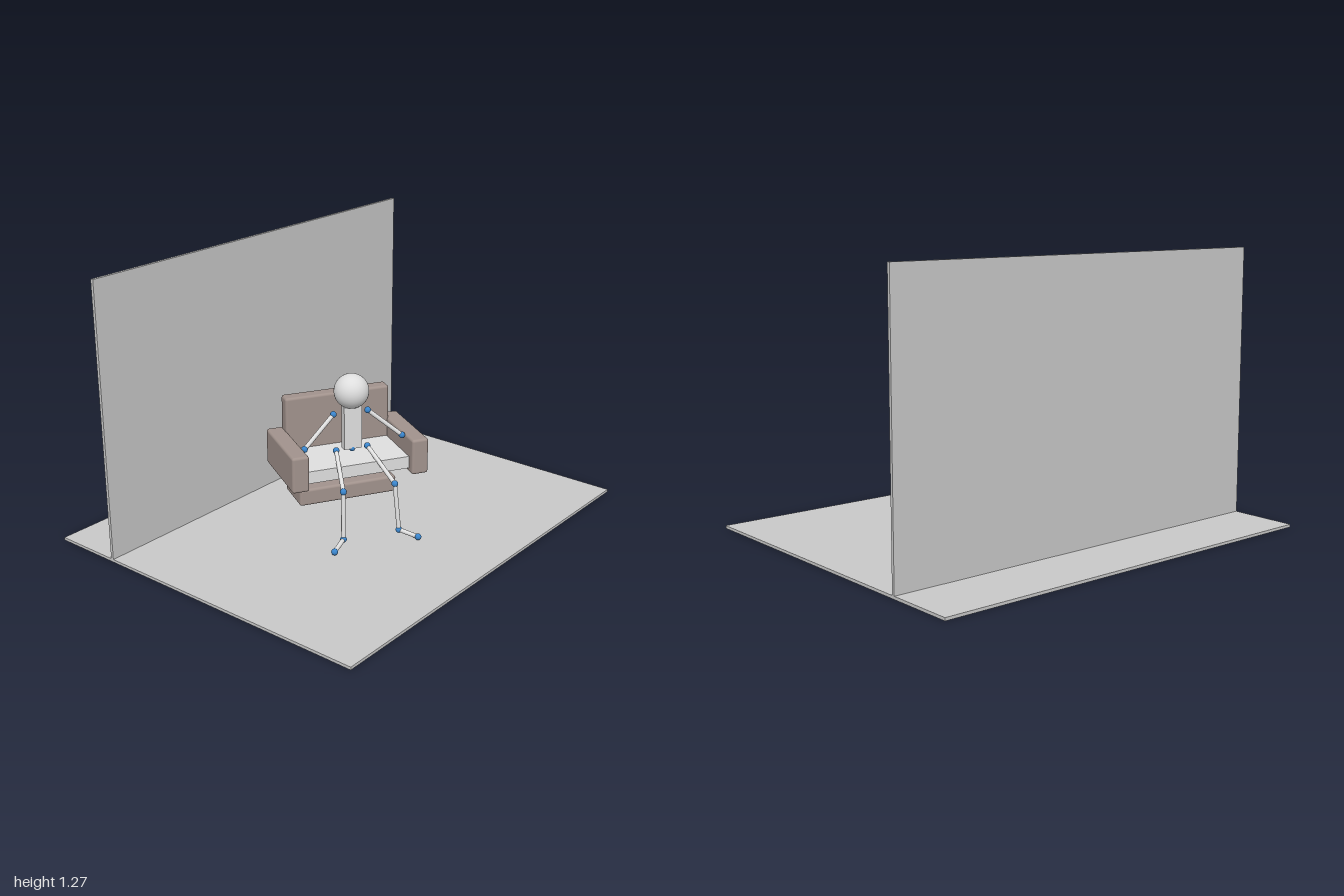
import * as THREE from 'three';
import { RoundedBoxGeometry } from 'three/addons/geometries/RoundedBoxGeometry.js';

export function createModel() {
  const model = new THREE.Group();
  model.name = 'seatedFigureScene';

  const material = (name, color) => {
    const m = new THREE.MeshStandardMaterial({ color });
    m.name = name;
    return m;
  };
  const roomGrey = material('roomGrey', 0xc8c8c8);
  const sofaBrown = material('sofaBrown', 0xa1928c);
  const paleGrey = material('paleGrey', 0xdedede);
  const jointBlue = material('jointBlue', 0x3a85cc);

  const add = (parent, name, geometry, mat, x = 0, y = 0, z = 0) => {
    const mesh = new THREE.Mesh(geometry, mat);
    mesh.name = name;
    mesh.position.set(x, y, z);
    parent.add(mesh);
    return mesh;
  };
  const softBox = (w, h, d) => new RoundedBoxGeometry(w, h, d, 3, 0.012);

  // Room
  add(model, 'floor', new THREE.BoxGeometry(2, 0.013, 1.66), roomGrey, 0, 0.0065, 0);
  add(model, 'backWall', new THREE.BoxGeometry(2, 1.262, 0.014), roomGrey, 0, 0.644, -0.506);

  // Armchair, turned towards the model's right
  const turn = -Math.PI / 6;
  const chair = new THREE.Group();
  chair.name = 'armchair';
  chair.position.set(-0.005, 0, 0.003);
  chair.rotation.y = turn;
  model.add(chair);
  for (const [name, side] of [['leftArmrest', 1], ['rightArmrest', -1]]) {
    add(chair, name, softBox(0.08, 0.17, 0.38), sofaBrown, side * 0.287, 0.333, 0);
  }
  add(chair, 'backrest', softBox(0.51, 0.27, 0.068), sofaBrown, 0, 0.445, -0.146);
  add(chair, 'base', softBox(0.476, 0.08, 0.203), sofaBrown, 0, 0.138, -0.075);
  add(chair, 'seat', new THREE.BoxGeometry(0.49, 0.058, 0.31), paleGrey, 0, 0.299, 0);

  // Figure: head and torso
  const figure = new THREE.Group();
  figure.name = 'figure';
  model.add(figure);
  add(figure, 'head', new THREE.SphereGeometry(0.08, 32, 20), paleGrey, -0.036, 0.648, 0.055);
  const torso = add(figure, 'torso', new THREE.BoxGeometry(0.085, 0.205, 0.036), paleGrey,
    -0.034, 0.475, 0.055);
  torso.rotation.y = turn;

  // Limbs: rods between ball joints
  const jointGeometry = new THREE.SphereGeometry(0.015, 16, 12);
  const addLimb = (name, points) => {
    const limb = new THREE.Group();
    limb.name = name;
    figure.add(limb);
    const pts = points.map((p) => new THREE.Vector3(...p));
    pts.forEach((p, i) => {
      add(limb, 'joint', jointGeometry, jointBlue, p.x, p.y, p.z);
      if (i === 0) return;
      const dir = p.clone().sub(pts[i - 1]);
      const rod = add(limb, 'rod',
        new THREE.CylinderGeometry(0.01, 0.01, dir.length(), 16), paleGrey);
      rod.position.copy(p).add(pts[i - 1]).multiplyScalar(0.5);
      rod.quaternion.setFromUnitVectors(new THREE.Vector3(0, 1, 0), dir.normalize());
    });
  };
  addLimb('rightArm', [[-0.095, 0.538, -0.002], [-0.257, 0.412, -0.035]]);
  addLimb('leftArm', [[0.047, 0.538, 0.083], [0.153, 0.412, 0.2]]);
  addLimb('rightLeg', [[-0.107, 0.372, 0.024], [-0.244, 0.262, 0.178],
    [-0.268, 0.045, 0.198], [-0.363, 0.03, 0.225]]);
  addLimb('leftLeg', [[0.027, 0.372, 0.098], [-0.032, 0.262, 0.302],
    [-0.037, 0.045, 0.332], [-0.016, 0.03, 0.424]]);
  addLimb('pelvis', [[-0.037, 0.372, 0.06]]);

  return model;
}
